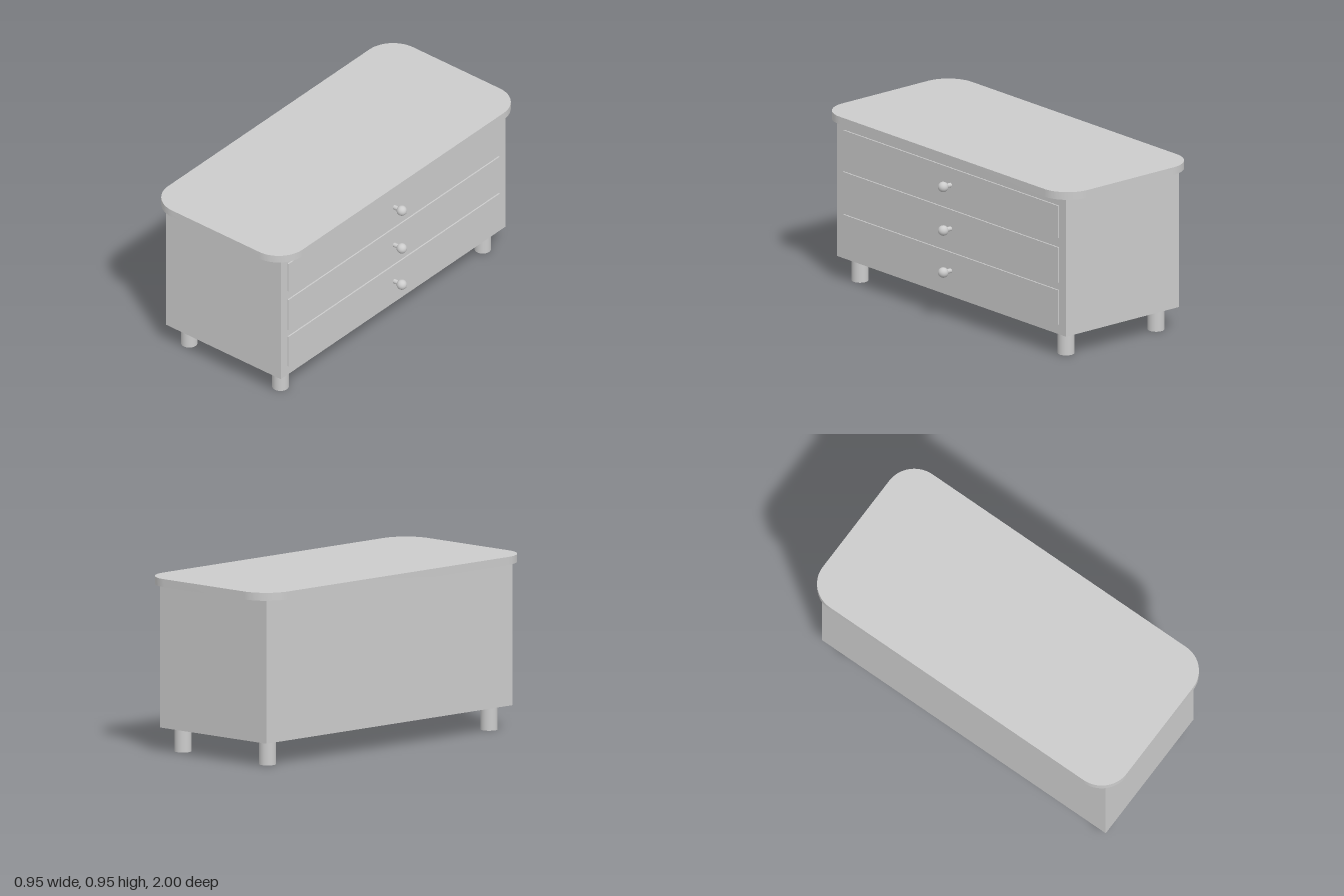
import * as THREE from 'three';
import { toCreasedNormals } from 'three/addons/utils/BufferGeometryUtils.js';

const material = new THREE.MeshStandardMaterial({ color: 0xcccccc });

function addPart(parent, name, geometry, x, y, z) {
  const mesh = new THREE.Mesh(geometry, material);
  mesh.name = name;
  mesh.position.set(x, y, z);
  parent.add(mesh);
  return mesh;
}

// Flat slab with rounded corners, its underside at y = 0
function roundedSlab(width, length, height, r) {
  const w = width / 2, l = length / 2;
  const shape = new THREE.Shape();
  shape.absarc(w - r, l - r, r, 0, Math.PI / 2);
  shape.absarc(-w + r, l - r, r, Math.PI / 2, Math.PI);
  shape.absarc(-w + r, -l + r, r, Math.PI, Math.PI * 1.5);
  shape.absarc(w - r, -l + r, r, Math.PI * 1.5, Math.PI * 2);
  shape.closePath();
  const slab = new THREE.ExtrudeGeometry(shape, { depth: height, bevelEnabled: false, curveSegments: 16 });
  slab.rotateX(-Math.PI / 2);
  return toCreasedNormals(slab, Math.PI / 6);
}

export function createModel() {
  const model = new THREE.Group();
  model.name = 'chestOfDrawers';
  const centreX = -0.01;

  // Top and body
  addPart(model, 'top', roundedSlab(0.932, 2, 0.043, 0.165), centreX, 0.905, 0);
  addPart(model, 'body', new THREE.BoxGeometry(0.797, 0.775, 1.866), centreX - 0.0015, 0.5175, 0);

  // Four round legs
  for (const side of [-1, 1]) {
    for (const end of [-1, 1]) {
      addPart(model, 'leg', new THREE.CylinderGeometry(0.0445, 0.0445, 0.14, 32),
        centreX + side * 0.317, 0.07, end * 0.84);
    }
  }

  // Drawers on the +x face: bottom, top and knob heights
  const drawers = [[0.185, 0.378, 0.276], [0.42, 0.617, 0.511], [0.671, 0.85, 0.755]];
  for (const [bottom, top, knobY] of drawers) {
    const drawer = new THREE.Group();
    drawer.name = 'drawer';
    addPart(drawer, 'drawerFront', new THREE.BoxGeometry(0.02, top - bottom, 1.754),
      0.385, (top + bottom) / 2, 0);
    const stem = new THREE.CylinderGeometry(0.0125, 0.0125, 0.05, 24).rotateZ(Math.PI / 2);
    addPart(drawer, 'knobStem', stem, 0.41, knobY, 0);
    addPart(drawer, 'knob', new THREE.SphereGeometry(0.0282, 32, 20), 0.447, knobY, 0);
    model.add(drawer);
  }
  return model;
}
